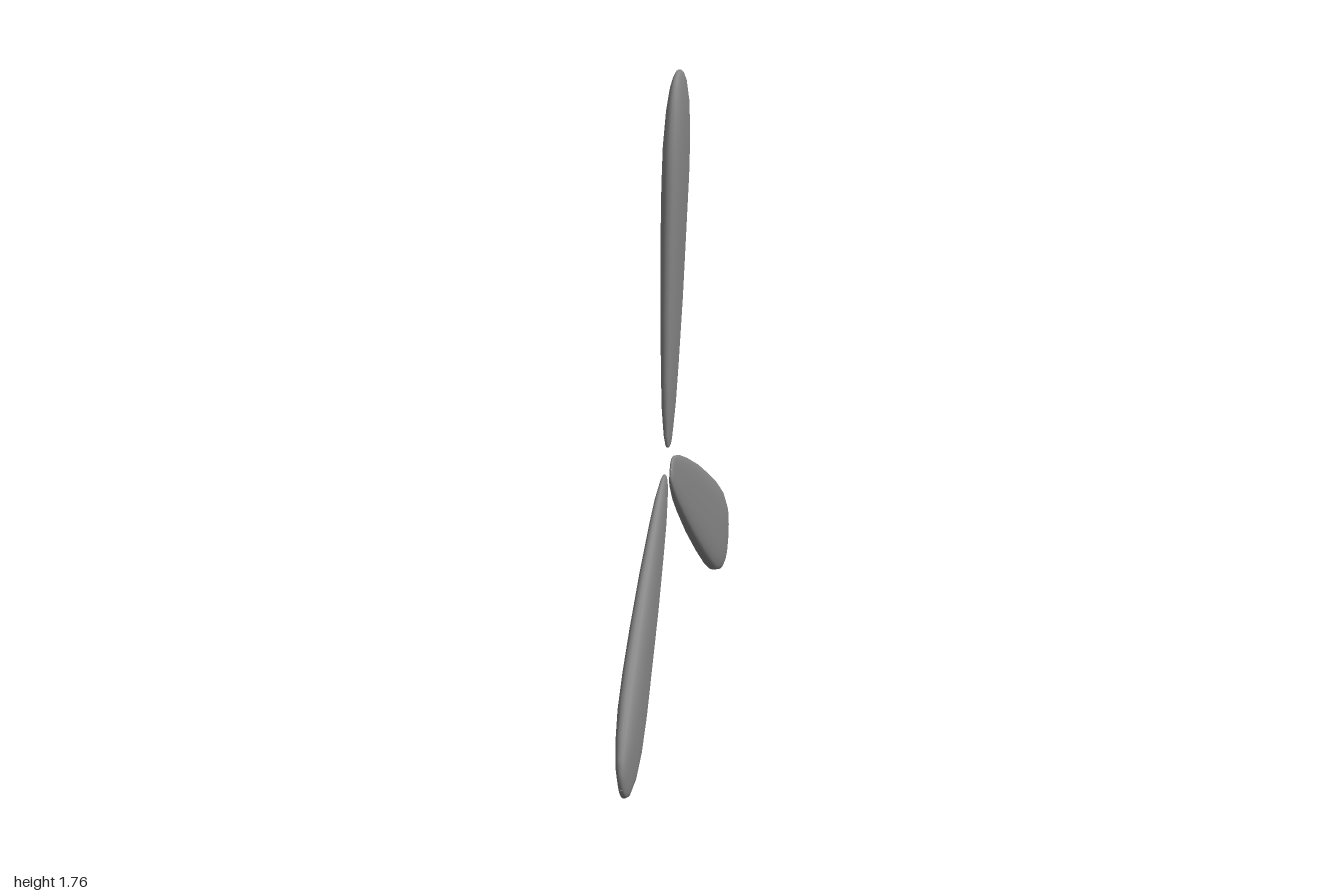
import * as THREE from 'three';

// Blade cross-sections from root to tip: radius, half width, back x, front x
const SECTIONS = [
  [0.057, 0.001, -0.021, -0.019],
  [0.059, 0.024, -0.024, -0.015],
  [0.07, 0.038, -0.026, -0.013],
  [0.1, 0.05, -0.03, -0.01],
  [0.18, 0.07, -0.034, -0.003],
  [0.28, 0.086, -0.035, 0.003],
  [0.48, 0.11, -0.035, 0.014],
  [0.68, 0.125, -0.033, 0.023],
  [0.83, 0.132, -0.03, 0.03],
  [0.94, 0.13, -0.026, 0.033],
  [1.04, 0.11, -0.018, 0.032],
  [1.1, 0.083, -0.009, 0.026],
  [1.126, 0.053, -0.002, 0.02],
  [1.136, 0.026, 0.003, 0.015],
  [1.138, 0.001, 0.007, 0.009],
];
const SIDES = 24;

// Signed power, squares off the ellipse into a softly rounded slab
const squared = (v) => Math.sign(v) * Math.abs(v) ** 0.74;

function bladeGeometry() {
  const positions = [];
  const index = [];
  SECTIONS.forEach(([r, w, x0, x1], i) => {
    for (let j = 0; j < SIDES; j++) {
      const a = (j / SIDES) * Math.PI * 2;
      positions.push(
        (x0 + x1) / 2 + ((x1 - x0) / 2) * squared(Math.cos(a)),
        r,
        w * squared(Math.sin(a)),
      );
      if (i === SECTIONS.length - 1) continue;
      const p = i * SIDES + j;
      const q = i * SIDES + ((j + 1) % SIDES);
      index.push(p, p + SIDES, q, q, p + SIDES, q + SIDES);
    }
  });
  const geometry = new THREE.BufferGeometry();
  geometry.setAttribute('position', new THREE.Float32BufferAttribute(positions, 3));
  geometry.setIndex(index);
  geometry.computeVertexNormals();
  return geometry;
}

export function createModel() {
  const model = new THREE.Group();
  model.name = 'rotor';
  const material = new THREE.MeshStandardMaterial({ color: 0x888888 });
  const geometry = bladeGeometry();

  // Three blades evenly spaced about the rotor axis
  for (let k = 0; k < 3; k++) {
    const blade = new THREE.Mesh(geometry, material);
    blade.name = `blade${k + 1}`;
    blade.position.y = 0.62;
    blade.rotation.x = (k * Math.PI * 2) / 3;
    model.add(blade);
  }
  return model;
}
